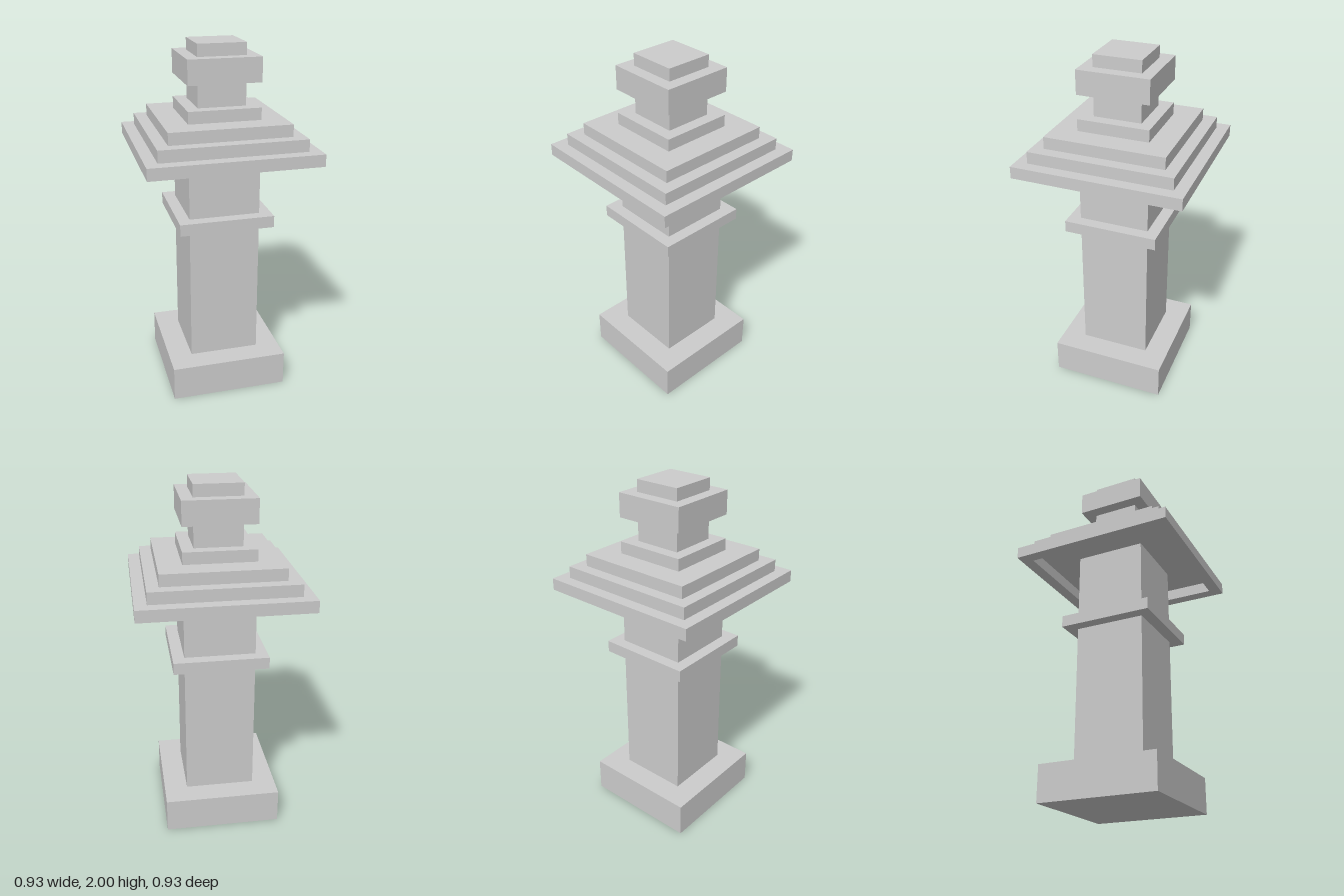
import * as THREE from 'three';

const U = 1 / 15; // one module of the stepped design
const material = new THREE.MeshStandardMaterial({ color: 0xcccccc, flatShading: true });

// Square block given its half width and its bottom and top heights, in modules
function block(name, half, bottom, top) {
  const geometry = new THREE.BoxGeometry(2 * half * U, (top - bottom) * U, 2 * half * U);
  const mesh = new THREE.Mesh(geometry, material);
  mesh.name = name;
  mesh.position.y = (bottom + top) / 2 * U;
  return mesh;
}

// Corners of a centred square
function square(half) {
  return [[-1, -1], [1, -1], [1, 1], [-1, 1]].map(([x, y]) => new THREE.Vector2(x * half * U, y * half * U));
}

// Square frame, open in the middle
function frame(name, outer, inner, bottom, top) {
  const shape = new THREE.Shape(square(outer));
  shape.holes.push(new THREE.Path(square(inner).reverse()));
  const geometry = new THREE.ExtrudeGeometry(shape, { depth: (top - bottom) * U, bevelEnabled: false });
  geometry.rotateX(-Math.PI / 2);
  const mesh = new THREE.Mesh(geometry, material);
  mesh.name = name;
  mesh.position.y = bottom * U;
  return mesh;
}

export function createModel() {
  const model = new THREE.Group();
  model.name = 'steppedPillar';

  // Base, shaft and collar
  model.add(block('base', 5, 0, 3));
  model.add(block('shaft', 3, 3, 22));
  model.add(block('collar', 4, 15, 16));

  // Roof: the eave is a frame, leaving a recessed ceiling beneath the next tier
  const roof = new THREE.Group();
  roof.name = 'roof';
  roof.add(frame('eave', 7, 6, 21, 22));
  [6, 5, 3].forEach((half, i) => roof.add(block(`roofTier${i + 1}`, half, 22 + i, 23 + i)));
  model.add(roof);

  // Finial
  const finial = new THREE.Group();
  finial.name = 'finial';
  finial.add(block('finialNeck', 2, 25, 27));
  finial.add(block('finialBlock', 3, 27, 29));
  finial.add(block('finialCap', 2, 29, 30));
  model.add(finial);

  return model;
}
